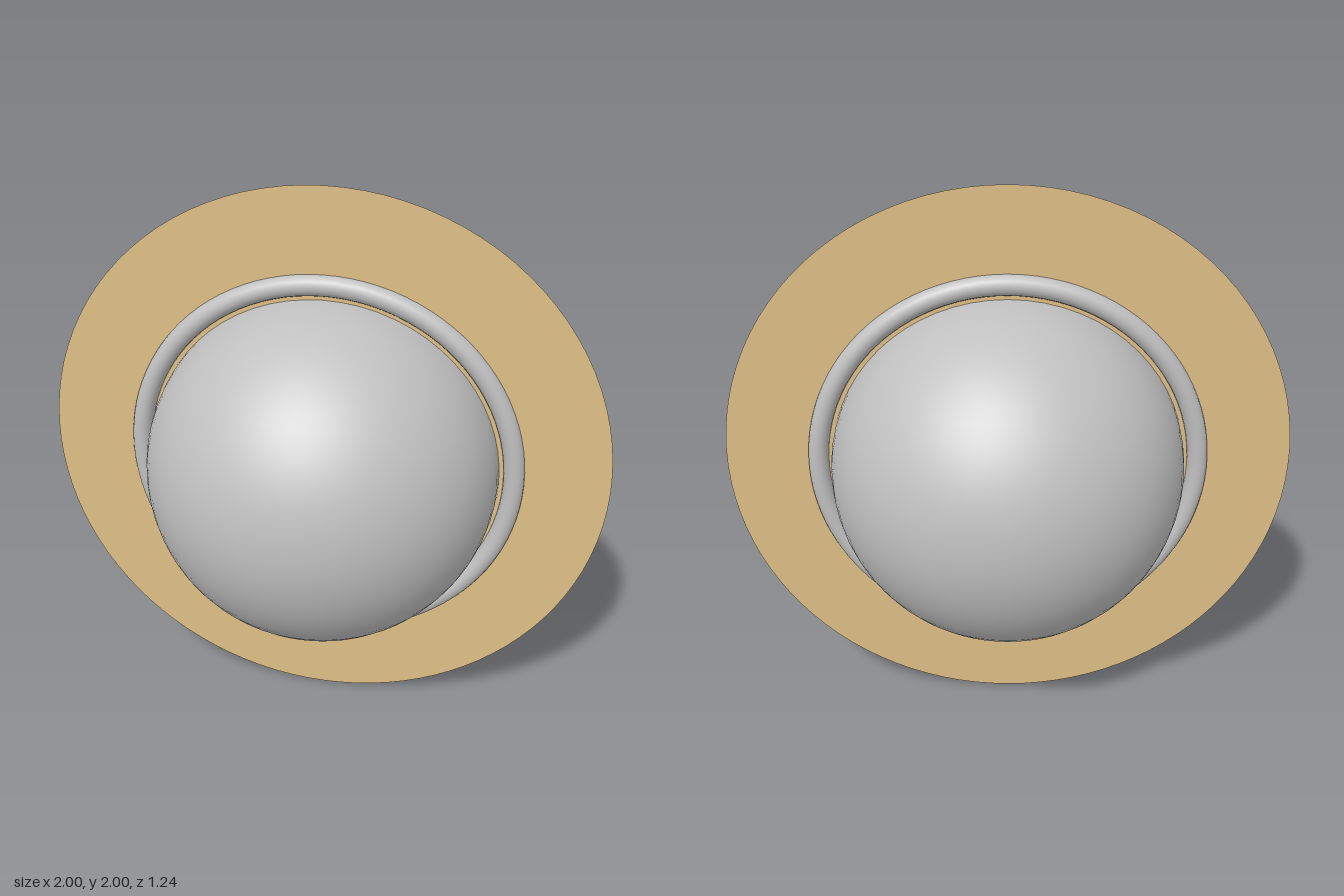
import * as THREE from 'three';

const grey = new THREE.MeshStandardMaterial({ color: 0xc0c0c0 });
grey.name = 'satin grey';
const sand = new THREE.MeshStandardMaterial({ color: 0xdebf86, side: THREE.DoubleSide });
sand.name = 'sand';

const CENTRE_Y = 1;
const GLOBE_RADIUS = 0.622;

export function createModel() {
  const model = new THREE.Group();
  model.name = 'ringedPlanet';

  const add = (name, geometry, material) => {
    const mesh = new THREE.Mesh(geometry, material);
    mesh.name = name;
    mesh.position.y = CENTRE_Y;
    model.add(mesh);
  };

  // Globe, made of two halves meeting at the equator
  const half = (start) =>
    new THREE.SphereGeometry(GLOBE_RADIUS, 64, 16, 0, Math.PI * 2, start, Math.PI / 2);
  add('upperGlobe', half(0), grey);
  add('lowerGlobe', half(Math.PI / 2), grey);

  // Round tube standing just clear of the globe
  add('innerRing', new THREE.TorusGeometry(0.673, 0.036, 20, 96), grey);

  // Paper-thin flat ring reaching from the globe to the outer edge
  add('outerRing', new THREE.RingGeometry(0.61, 1, 96), sand);

  return model;
}
